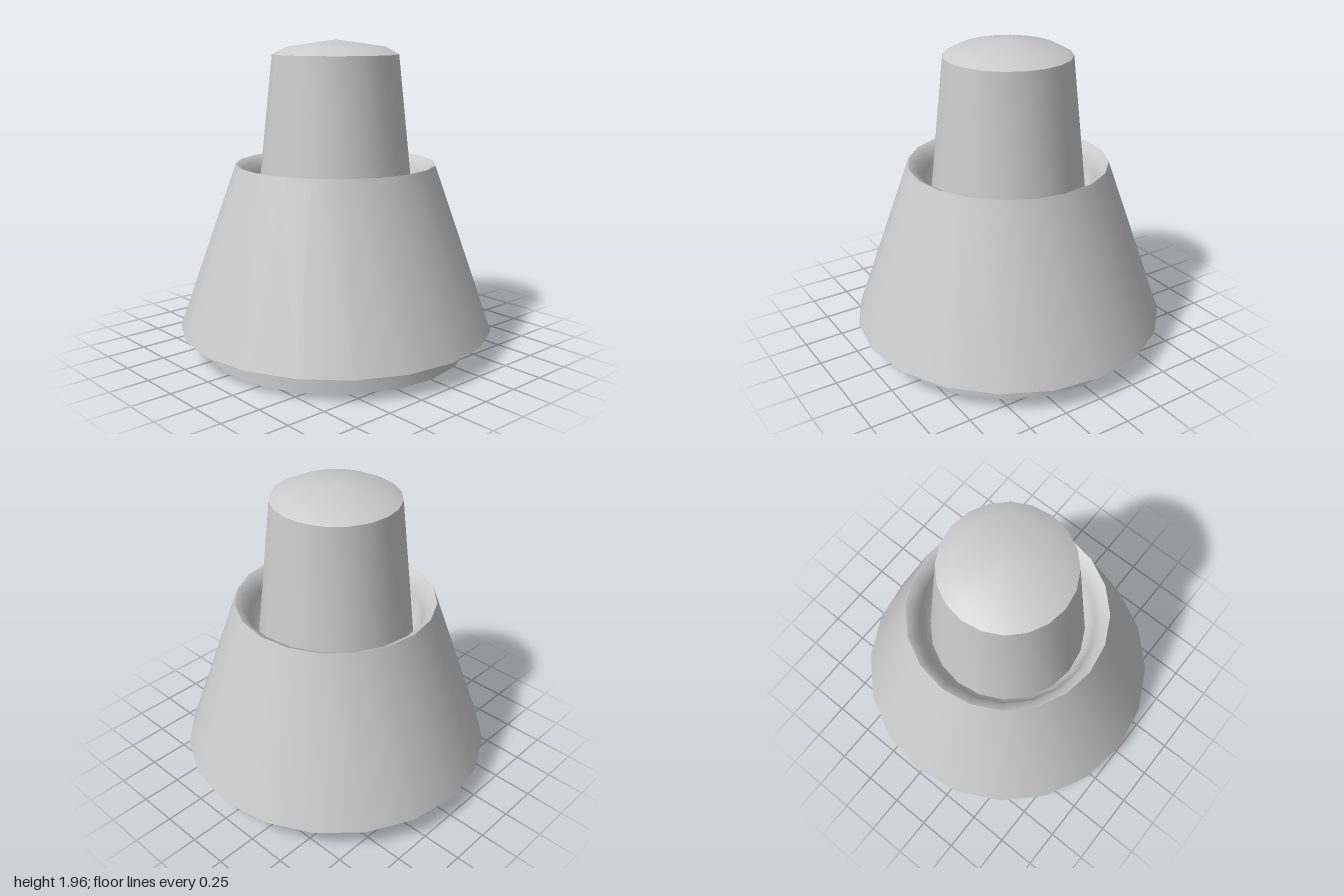
import * as THREE from 'three';
import { toCreasedNormals } from 'three/addons/utils/BufferGeometryUtils.js';

const SIDES = 20;
const material = new THREE.MeshStandardMaterial({ color: 0xcccccc });

// Turned part: profile of [radius, height] pairs, running up the outside
function turned(name, profile) {
  const points = profile.map(([r, y]) => new THREE.Vector2(r, y));
  const geometry = toCreasedNormals(new THREE.LatheGeometry(points, SIDES), 0.75);
  const mesh = new THREE.Mesh(geometry, material);
  mesh.name = name;
  return mesh;
}

export function createModel() {
  const group = new THREE.Group();
  group.name = 'taperedKnob';

  // Short plinth with a closed underside
  group.add(turned('base', [[0, 0], [0.845, 0], [0.845, 0.15]]));

  // Conical skirt: underside rim, sloping wall, lip and recessed groove
  group.add(turned('skirt', [
    [0.845, 0.15], [1, 0.15], [0.63, 1.195],
    [0.585, 1.17], [0.55, 1.09], [0.53, 0.99], [0.495, 0.95],
  ]));

  // Tapered stem with a shallow domed cap
  group.add(turned('stem', [
    [0.495, 0.95], [0.395, 1.87], [0.305, 1.917], [0, 1.96],
  ]));

  return group;
}
